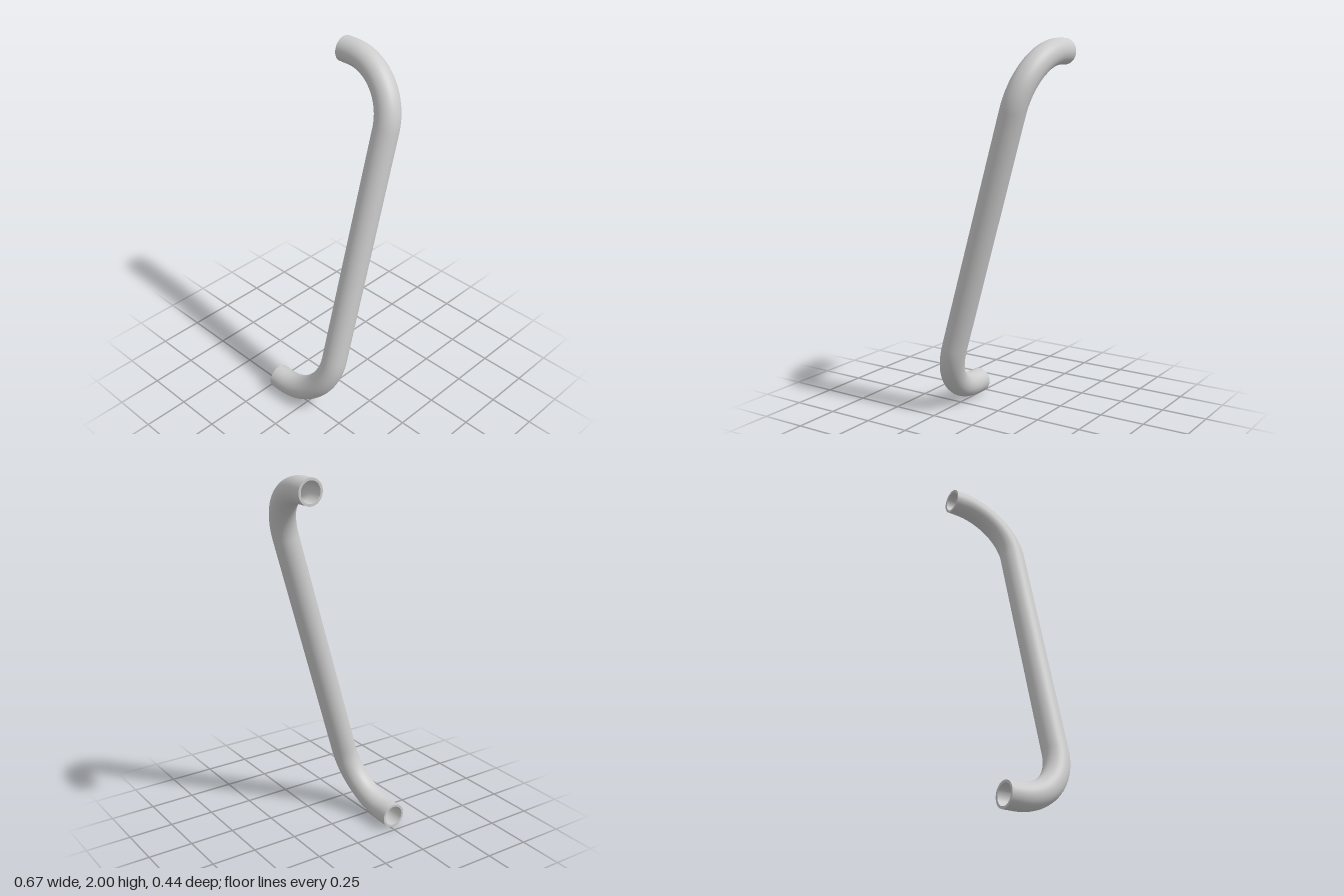
import * as THREE from 'three';

const OUTER = 0.068, INNER = 0.055; // pipe radii
const HALF = 0.97;                  // half distance between the two ends
const FRONT = 0.149, BACK = -0.218; // z of the grip axis and of the open ends
const BEND = 0.31;                  // bend radius of the centre line
const TILT = Math.atan2(0.267, 0.932);

// Centre line: end stub, quarter bend, straight grip, quarter bend, end stub
function centreLine() {
  const k = BEND * 0.5523, zb = FRONT - BEND, yb = HALF - BEND;
  const v = (y, z) => new THREE.Vector3(0, y, z);
  const path = new THREE.CurvePath();
  path.add(new THREE.LineCurve3(v(-HALF, BACK), v(-HALF, zb)));
  path.add(new THREE.CubicBezierCurve3(v(-HALF, zb), v(-HALF, zb + k), v(-yb - k, FRONT), v(-yb, FRONT)));
  path.add(new THREE.LineCurve3(v(-yb, FRONT), v(yb, FRONT)));
  path.add(new THREE.CubicBezierCurve3(v(yb, FRONT), v(yb + k, FRONT), v(HALF, zb + k), v(HALF, zb)));
  path.add(new THREE.LineCurve3(v(HALF, zb), v(HALF, BACK)));
  return path;
}

// Turn a surface inside out
function flip(geometry) {
  geometry.index.array.reverse();
  const n = geometry.attributes.normal;
  for (let i = 0; i < n.array.length; i++) n.array[i] *= -1;
  return geometry;
}

export function createModel() {
  const group = new THREE.Group();
  group.name = 'pullHandle';
  const material = new THREE.MeshStandardMaterial({ color: 0xcccccc });
  const add = (name, geometry) => {
    const mesh = new THREE.Mesh(geometry, material);
    mesh.name = name;
    group.add(mesh);
    return mesh;
  };

  // Outer skin and hollow bore of the bent pipe
  const path = centreLine();
  add('pipeOuter', new THREE.TubeGeometry(path, 160, OUTER, 48));
  add('pipeBore', flip(new THREE.TubeGeometry(path, 160, INNER, 48)));

  // Annular end faces, facing the back
  for (const s of [-1, 1]) {
    const rim = add(s < 0 ? 'lowerRim' : 'upperRim', new THREE.RingGeometry(INNER, OUTER, 48));
    rim.rotation.y = Math.PI;
    rim.position.set(0, s * HALF, BACK);
  }

  // Lean the handle sideways and stand it on the ground
  group.rotation.z = -TILT;
  group.position.y = 1;
  const model = new THREE.Group();
  model.add(group);
  return model;
}
